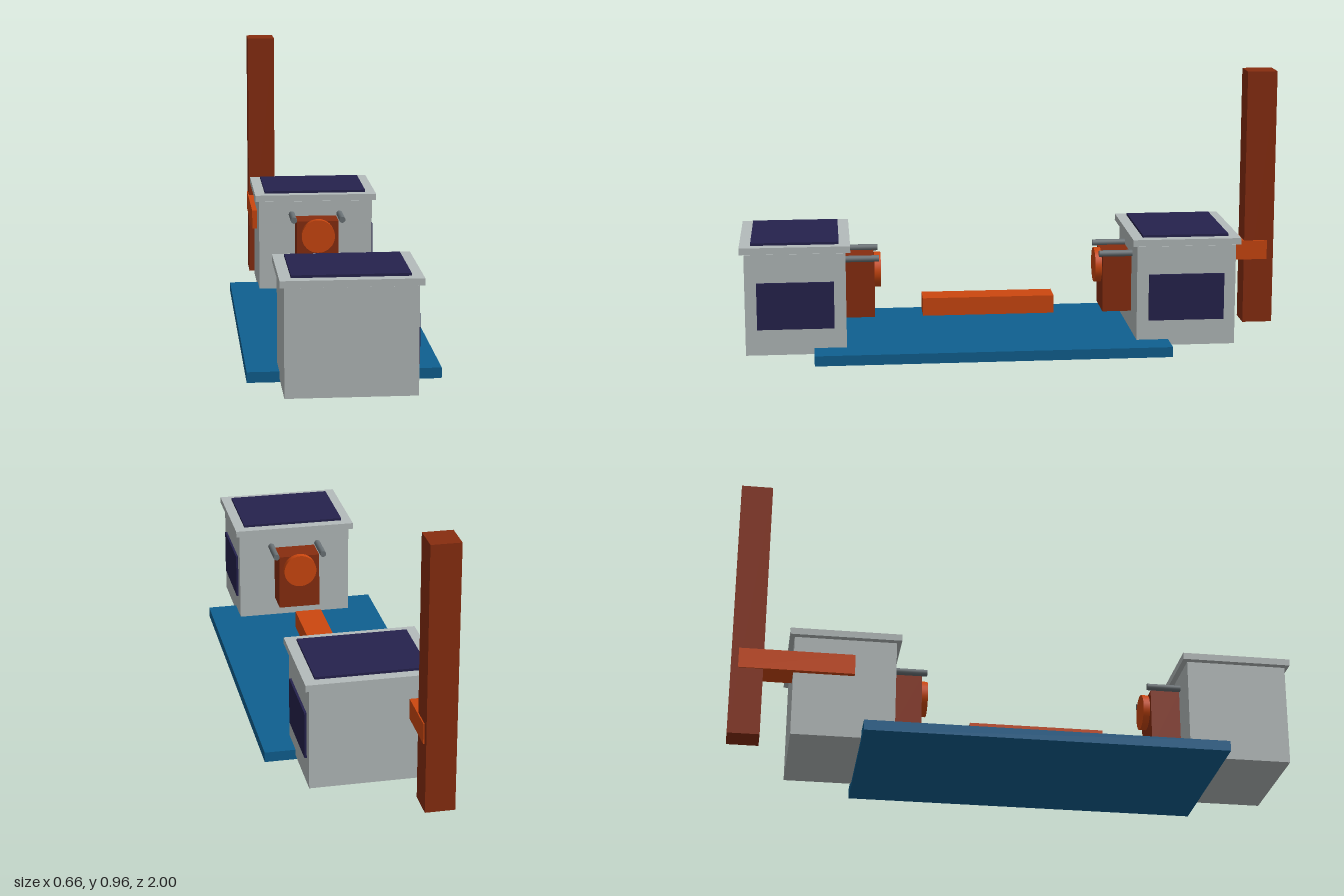
import * as THREE from 'three';

const mat = (name, color) => {
  const m = new THREE.MeshStandardMaterial({ color });
  m.name = name;
  return m;
};

export function createModel() {
  const blue = mat('blue', 0x0f6090);
  const grey = mat('light grey', 0xb4bbbb);
  const navy = mat('navy', 0x25224d);
  const brown = mat('rust brown', 0x882d0f);
  const orange = mat('orange', 0xcc470f);
  const steel = mat('steel grey', 0x6a7276);

  const add = (parent, name, geometry, material) => {
    const mesh = new THREE.Mesh(geometry, material);
    mesh.name = name;
    parent.add(mesh);
    return mesh;
  };
  // Box given by its extents along each axis
  const box = (parent, name, material, [x0, x1], [y0, y1], [z0, z1]) => {
    const g = new THREE.BoxGeometry(x1 - x0, y1 - y0, Math.abs(z1 - z0));
    add(parent, name, g, material).position.set((x0 + x1) / 2, (y0 + y1) / 2, (z0 + z1) / 2);
  };
  // Cylinder lying along z
  const rod = (parent, name, material, r, x, y, z0, z1, sides) => {
    const g = new THREE.CylinderGeometry(r, r, Math.abs(z1 - z0), sides).rotateX(Math.PI / 2);
    add(parent, name, g, material).position.set(x, y, (z0 + z1) / 2);
  };

  const model = new THREE.Group();
  model.name = 'model';

  box(model, 'basePlate', blue, [-0.33, 0.33], [0, 0.037], [-0.54, 0.74]);
  box(model, 'centreBeam', orange, [-0.05, 0.05], [0.102, 0.168], [-0.14, 0.342]);

  // Two cabins mirrored about z = 0.1; distances run outward from there
  for (const [name, s] of [['frontCabin', 1], ['backCabin', -1]]) {
    const cabin = new THREE.Group();
    cabin.name = name;
    cabin.position.z = 0.1;
    model.add(cabin);
    box(cabin, 'cabinBody', grey, [-0.22, 0.22], [0.015, 0.383], [s * 0.524, s * 0.884]);
    box(cabin, 'roof', grey, [-0.235, 0.235], [0.387, 0.411], [s * 0.507, s * 0.9]);
    box(cabin, 'roofPanel', navy, [-0.196, 0.196], [0.411, 0.42], [s * 0.547, s * 0.86]);
    box(cabin, 'sideWindow', navy, [0.22, 0.228], [0.11, 0.28], [s * 0.567, s * 0.842]);
    box(cabin, 'lampHousing', brown, [-0.08, 0.08], [0.11, 0.325], [s * 0.418, s * 0.524]);
    rod(cabin, 'lampDisc', orange, 0.064, 0, 0.27, s * 0.394, s * 0.418, 32);
    for (const x of [-0.093, 0.093]) {
      rod(cabin, 'rail', steel, 0.012, x, 0.332, s * 0.402, s * 0.524, 16);
    }
  }

  // Post behind the back cabin and the arm joining them
  box(model, 'post', brown, [-0.235, -0.13], [0, 0.964], [-1, -0.888]);
  box(model, 'postArm', orange, [-0.239, -0.126], [0.246, 0.319], [-0.975, -0.57]);

  return model;
}
